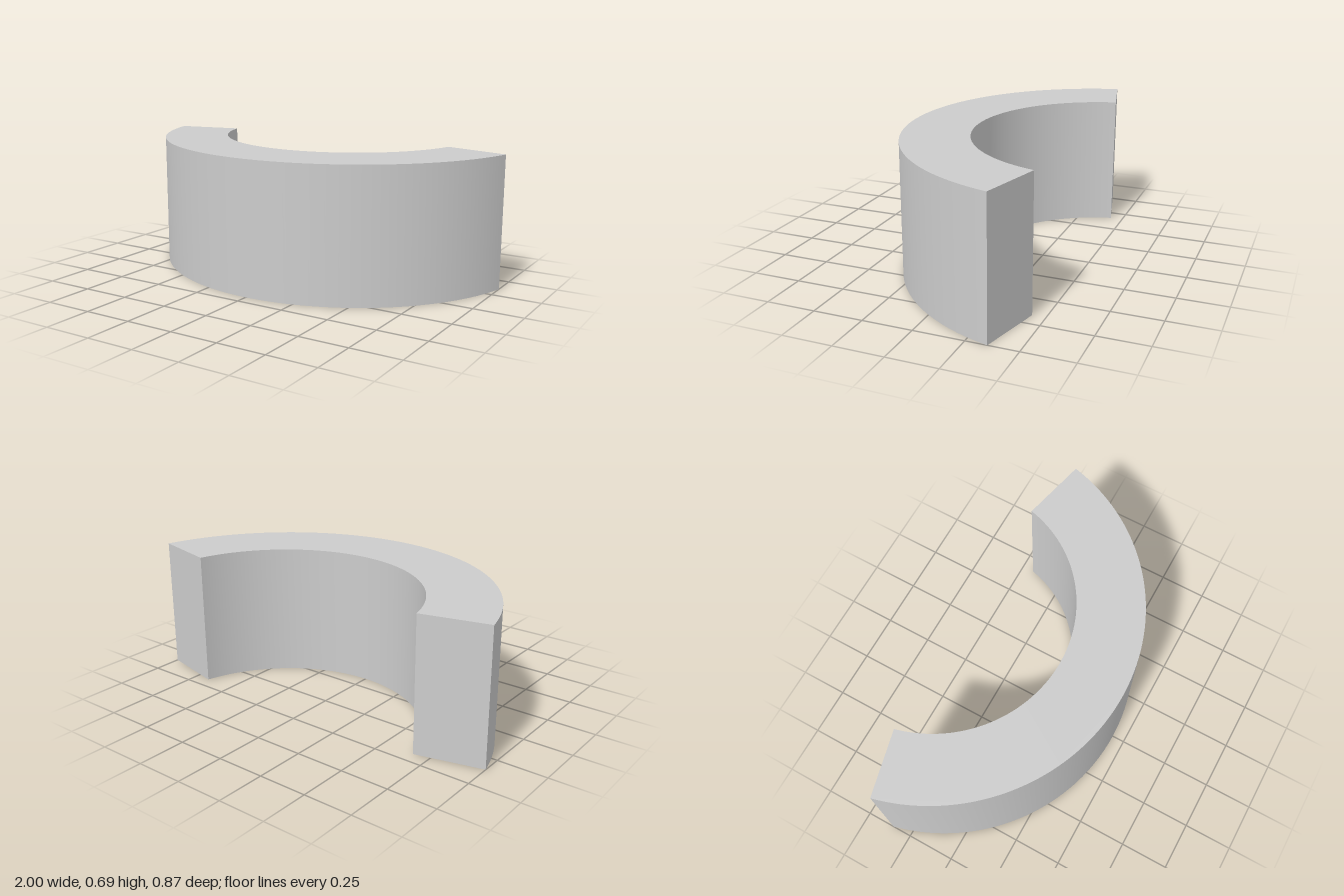
import * as THREE from 'three';
import { toCreasedNormals } from 'three/addons/utils/BufferGeometryUtils.js';

export function createModel() {
  const group = new THREE.Group();
  group.name = 'curvedBlock';

  const tilt = THREE.MathUtils.degToRad(13.5); // end faces, measured from the x axis
  const outer = 1 / Math.cos(tilt);
  const inner = outer * 2 / 3;
  const height = 0.685;
  const centreZ = -(outer + inner * Math.sin(tilt)) / 2;

  // Plan of the ring segment: outer arc, then back along the inner arc
  const plan = new THREE.Shape();
  plan.absarc(0, 0, outer, tilt, Math.PI - tilt, false);
  plan.absarc(0, 0, inner, Math.PI - tilt, tilt, true);
  plan.closePath();

  // Raise the plan to full height, with the bulge facing the front
  let geometry = new THREE.ExtrudeGeometry(plan, {
    depth: height, bevelEnabled: false, curveSegments: 48,
  });
  geometry.rotateX(Math.PI / 2);
  geometry.translate(0, height, centreZ);
  geometry = toCreasedNormals(geometry, Math.PI / 6);

  const arc = new THREE.Mesh(geometry, new THREE.MeshStandardMaterial({ color: 0xcccccc }));
  arc.name = 'ringSegment';
  group.add(arc);
  return group;
}
